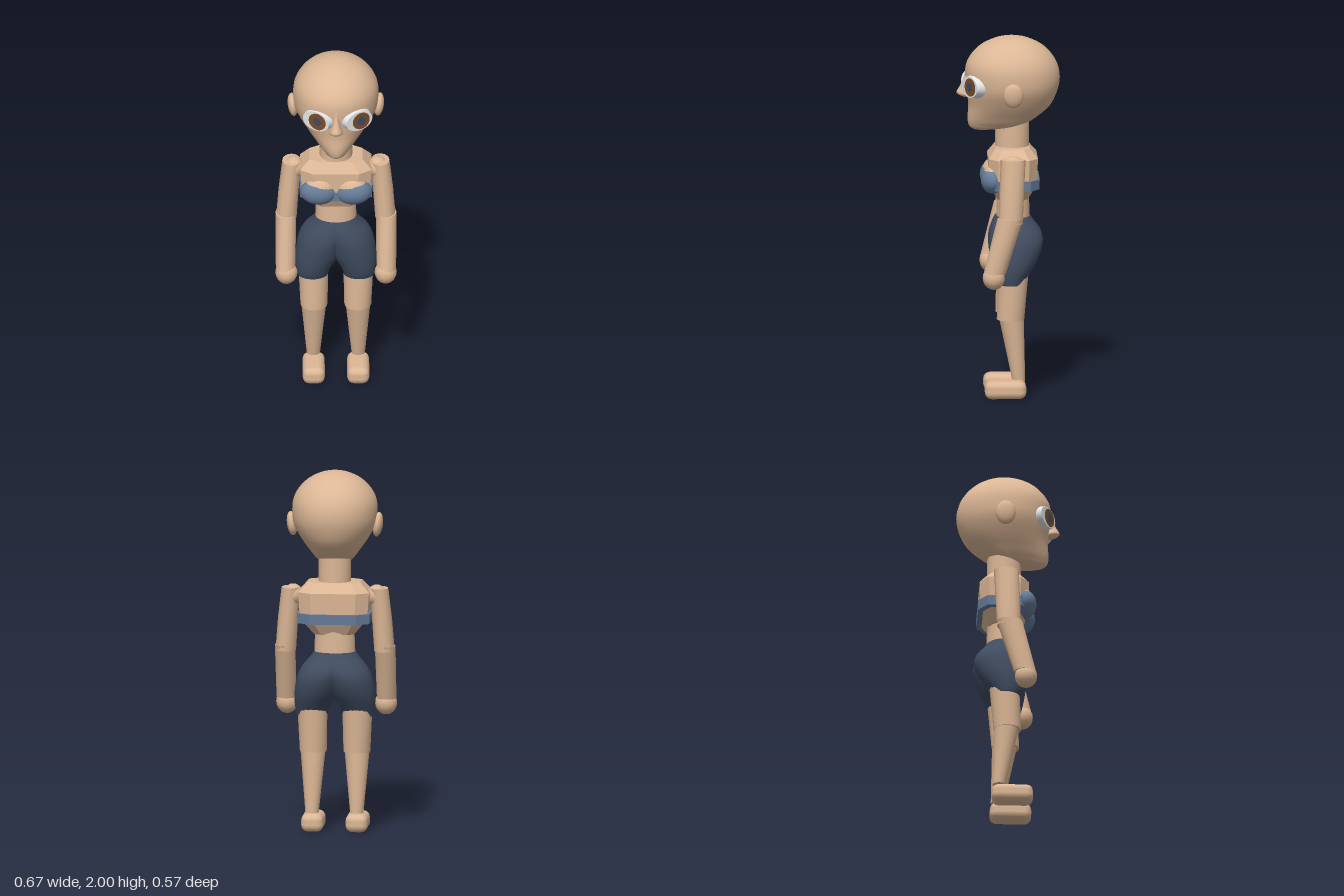
import * as THREE from 'three';
import { RoundedBoxGeometry } from 'three/addons/geometries/RoundedBoxGeometry.js';

const mat = (name, color) => Object.assign(new THREE.MeshStandardMaterial({ color }), { name });

// Catmull-Rom subdivision of a list of rings
function refine(rings, steps) {
  const out = [];
  for (let i = 0; i < rings.length - 1; i++) {
    const a = rings[Math.max(i - 1, 0)], b = rings[i], c = rings[i + 1], d = rings[Math.min(i + 2, rings.length - 1)];
    for (let s = 0; s < steps; s++) {
      const t = s / steps;
      out.push(b.map((v, k) => {
        const m0 = (c[k] - a[k]) / 2, m1 = (d[k] - v) / 2, e = c[k] - v;
        return v + m0 * t + (3 * e - 2 * m0 - m1) * t * t + (m0 + m1 - 2 * e) * t * t * t;
      }));
    }
  }
  out.push(rings[rings.length - 1]);
  return out;
}

// Closed body through rings [y, xMin, xMax, zFront, zBack], listed upwards
function loft(rings, { n = 12, steps = 1, octagon = false, zMid = null } = {}) {
  if (steps > 1) rings = refine(rings, steps);
  if (octagon) n = 8;
  const pos = [], idx = [];
  const point = ([y, x0, x1, zf, zb], j) => {
    const a = ((j + (octagon ? 0.5 : 0)) / n) * Math.PI * 2;
    let c = Math.cos(a), s = Math.sin(a);
    if (octagon) {
      c = Math.sign(c) * Math.sqrt(Math.abs(c)) / 0.961;
      s = Math.sign(s) * Math.sqrt(Math.abs(s)) / 0.961;
    }
    const mid = zMid === null ? (zf + zb) / 2 : Math.min(Math.max(zMid, zb), zf);
    pos.push((x0 + x1) / 2 + c * (x1 - x0) / 2, y, mid + s * (s > 0 ? zf - mid : mid - zb));
  };
  rings.forEach((r) => { for (let j = 0; j < n; j++) point(r, j); });
  for (let i = 0; i < rings.length - 1; i++) for (let j = 0; j < n; j++) {
    const k = (j + 1) % n, a = i * n + j, b = i * n + k;
    idx.push(a, a + n, b, b, a + n, b + n);
  }
  // end caps with their own corners, so the rims stay sharp
  [rings[0], rings[rings.length - 1]].forEach((r, top) => {
    const base = pos.length / 3;
    for (let j = 0; j < n; j++) point(r, j);
    for (let j = 1; j < n - 1; j++) idx.push(base, base + j + (top ? 1 : 0), base + j + (top ? 0 : 1));
  });
  let g = new THREE.BufferGeometry();
  g.setAttribute('position', new THREE.Float32BufferAttribute(pos, 3));
  g.setIndex(idx);
  if (octagon) g = g.toNonIndexed();
  g.computeVertexNormals();
  return g;
}

const mirror = (rings, s) => (s > 0 ? rings : rings.map(([y, a, b, f, k]) => [y, -b, -a, f, k]));
const sym = (rings) => rings.map(([y, w, f, b]) => [y, -w, w, f, b]);

export function createModel() {
  const model = new THREE.Group();
  model.name = 'figure';
  const skin = mat('skin', 0xdcb796), shorts = mat('shorts navy', 0x404c60), bra = mat('top blue', 0x667c99);
  const white = mat('eye white', 0xe6e8ea), brown = mat('iris brown', 0x7c4c28), dark = mat('pupil blue', 0x3c4a68);

  const add = (name, geo, material, parent = model) => {
    const m = new THREE.Mesh(geo, material);
    m.name = name;
    parent.add(m);
    return m;
  };
  const ball = (name, material, p, r, n = 16) => {
    const m = add(name, new THREE.SphereGeometry(1, n, Math.ceil(n * 0.7)), material);
    m.position.set(...p);
    m.scale.set(...r);
    return m;
  };

  // Head: round skull narrowing to a small chin
  add('head', loft(sym([
    [1.48, 0.03, 0.185, 0.125], [1.495, 0.075, 0.21, 0.04], [1.52, 0.105, 0.22, -0.1],
    [1.56, 0.135, 0.222, -0.17], [1.62, 0.178, 0.218, -0.235], [1.7, 0.222, 0.228, -0.272],
    [1.77, 0.234, 0.235, -0.284], [1.84, 0.229, 0.232, -0.272], [1.9, 0.2, 0.2, -0.238],
    [1.95, 0.152, 0.148, -0.185], [1.983, 0.092, 0.08, -0.118], [1.996, 0.045, 0.03, -0.065],
    [2.0, 0.002, -0.015, -0.019],
  ]), { n: 36, steps: 3, zMid: -0.02 }), skin);
  add('nose', loft(sym([
    [1.662, 0.026, 0.245, 0.19], [1.675, 0.038, 0.275, 0.19], [1.69, 0.034, 0.284, 0.19],
    [1.71, 0.026, 0.272, 0.19], [1.75, 0.018, 0.252, 0.19], [1.8, 0.01, 0.236, 0.19],
  ]), { n: 16, steps: 2 }), skin);
  add('neck', loft(sym([[1.37, 0.09, 0.07, -0.115], [1.56, 0.09, 0.07, -0.115]]), { n: 20 }), skin);

  // Torso
  add('chest', loft(sym([
    [1.1, 0.11, 0.06, -0.105], [1.19, 0.185, 0.108, -0.155],
    [1.335, 0.195, 0.11, -0.16], [1.39, 0.145, 0.07, -0.115],
  ]), { octagon: true }), skin);
  add('waist', loft(sym([[0.95, 0.115, 0.065, -0.12], [1.12, 0.108, 0.06, -0.115]]), { n: 16 }), skin);
  add('chestBand', loft(sym([[1.165, 0.197, 0.115, -0.168], [1.22, 0.2, 0.117, -0.17]]), { octagon: true }), bra);

  for (const s of [1, -1]) {
    const side = s > 0 ? 'left' : 'right';

    // Face details
    const eye = new THREE.Group();
    eye.name = side + 'Eye';
    eye.position.set(s * 0.12 + 0.008, 1.737, 0.217);
    eye.rotation.y = s * 0.52;
    model.add(eye);
    const eyeball = add('eyeball', new THREE.CylinderGeometry(0.86, 1, 0.06, 28).rotateX(Math.PI / 2), white, eye);
    eyeball.scale.set(0.095, 0.068, 1);
    eyeball.position.z = -0.03;
    const iris = add('iris', new THREE.CylinderGeometry(1, 1, 0.004, 24).rotateX(Math.PI / 2), brown, eye);
    iris.scale.set(0.053, 0.05, 1);
    iris.position.set(0.01, 0, 0.001);
    const pupil = add('pupil', new THREE.CylinderGeometry(1, 1, 0.004, 18).rotateX(Math.PI / 2), dark, eye);
    pupil.scale.set(0.024, 0.024, 1);
    pupil.position.set(0.01, 0, 0.003);
    ball(side + 'Ear', skin, [s * 0.236, 1.705, -0.022], [0.028, 0.068, 0.055]).rotation.z = -s * 0.13;

    // Bust with covered lower part
    ball(side + 'Breast', skin, [s * 0.09, 1.225, 0.08], [0.085, 0.078, 0.062], 20);
    const cup = add(side + 'Cup', new THREE.SphereGeometry(1, 24, 14, 0, Math.PI * 2, Math.PI * 0.24, Math.PI * 0.76), bra);
    cup.position.set(s * 0.098, 1.212, 0.086);
    cup.scale.set(0.099, 0.073, 0.066);
    cup.rotation.z = s * 0.08;

    // Arms
    ball(side + 'Shoulder', skin, [s * 0.23, 1.31, -0.02], [0.056, 0.06, 0.062], 14);
    add(side + 'UpperArm', loft(mirror([
      [1.0, 0.215, 0.328, 0.06, -0.072], [1.18, 0.203, 0.314, 0.055, -0.08], [1.352, 0.192, 0.294, 0.048, -0.088],
    ], s)), skin);
    add(side + 'Forearm', loft(mirror([
      [0.725, 0.222, 0.33, 0.143, 0.02], [1.03, 0.218, 0.332, 0.068, -0.075],
    ], s)), skin);
    ball(side + 'Elbow', skin, [s * 0.274, 1.02, -0.005], [0.054, 0.04, 0.064], 12);
    ball(side + 'Hand', skin, [s * 0.272, 0.7, 0.087], [0.061, 0.066, 0.062], 14);

    // Shorts: each half overlaps the other at the middle
    add(side + 'ShortsHalf', loft(mirror([
      [0.64, 0.042, 0.212, 0.065, -0.085], [0.67, 0.034, 0.217, 0.078, -0.098],
      [0.72, 0.006, 0.222, 0.09, -0.13], [0.78, -0.035, 0.22, 0.1, -0.165],
      [0.86, -0.07, 0.206, 0.108, -0.19], [0.92, -0.11, 0.178, 0.103, -0.178],
      [0.97, -0.115, 0.135, 0.088, -0.142], [1.0, -0.11, 0.114, 0.075, -0.122],
    ], s), { n: 28, steps: 3 }), shorts);

    // Legs
    add(side + 'Thigh', loft(mirror([
      [0.442, 0.046, 0.194, 0.066, -0.085], [0.72, 0.04, 0.208, 0.058, -0.11],
    ], s), { n: 16 }), skin);
    add(side + 'Calf', loft(mirror([
      [0.108, 0.086, 0.16, -0.018, -0.09], [0.47, 0.05, 0.192, 0.058, -0.082],
    ], s), { n: 16 }), skin);
    add(side + 'Foot', new RoundedBoxGeometry(0.122, 0.1, 0.228, 2, 0.038), skin).position.set(s * 0.122, 0.05, 0.018);
  }
  return model;
}
